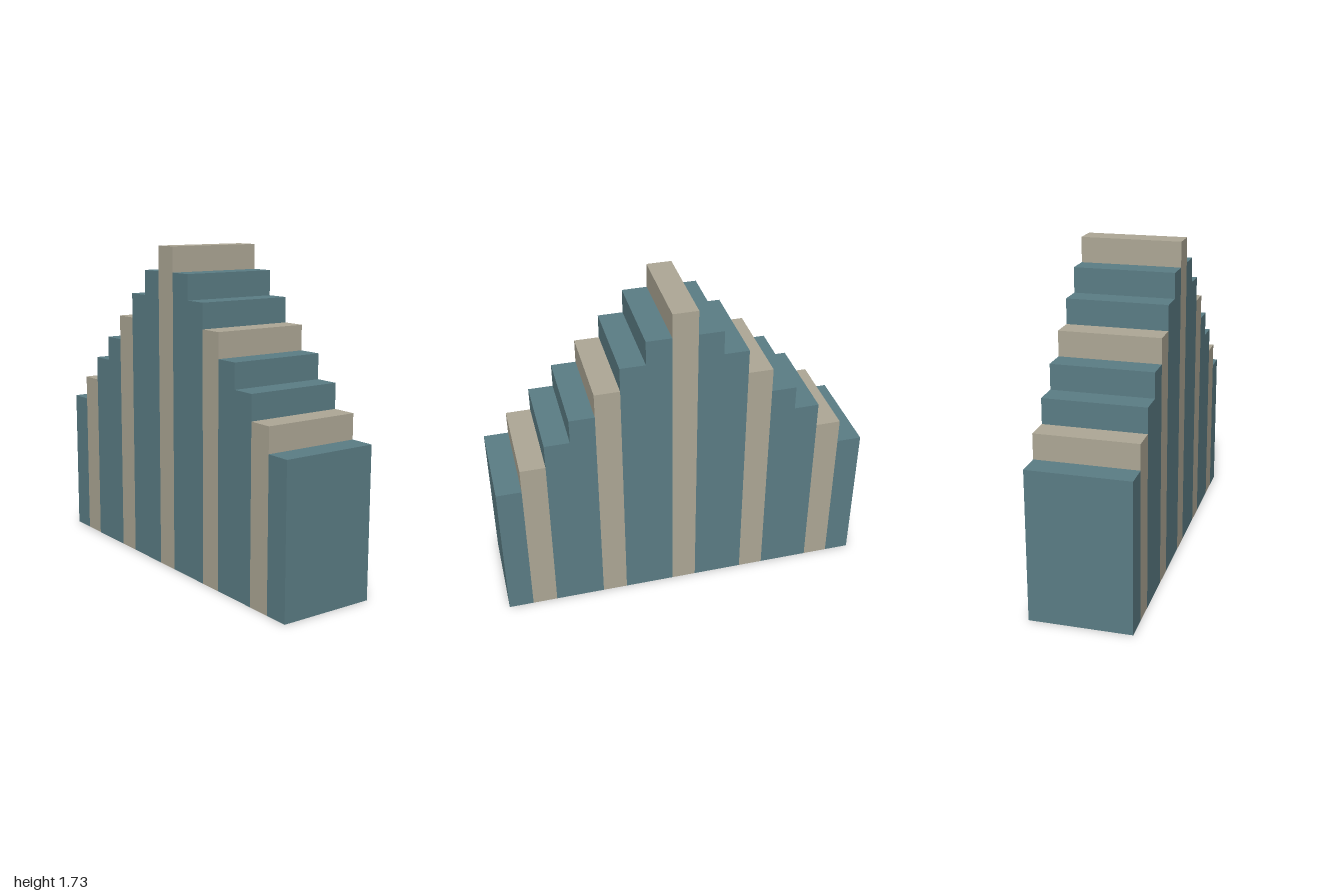
import * as THREE from 'three';

export function createModel() {
  const group = new THREE.Group();
  group.name = 'steppedGable';

  const unit = 2 / 15; // column width and step height
  const depth = unit * 4;
  const half = 7; // columns on each side of the ridge
  const teal = new THREE.MeshStandardMaterial({ color: 0x5b7d85, flatShading: true });
  const tan = new THREE.MeshStandardMaterial({ color: 0xaea896, flatShading: true });

  // Columns rise one step at a time to the centre; every third one is a tan band
  for (let i = -half; i <= half; i++) {
    const height = unit * (6 + half - Math.abs(i));
    const isBand = i % 3 === 0;
    const column = new THREE.Mesh(new THREE.BoxGeometry(unit, height, depth), isBand ? tan : teal);
    column.position.set(i * unit, height / 2, 0);
    column.name = i === 0 ? 'ridgeColumn' : `${i > 0 ? 'left' : 'right'}${isBand ? 'Band' : 'Column'}${Math.abs(i)}`;
    group.add(column);
  }
  return group;
}
